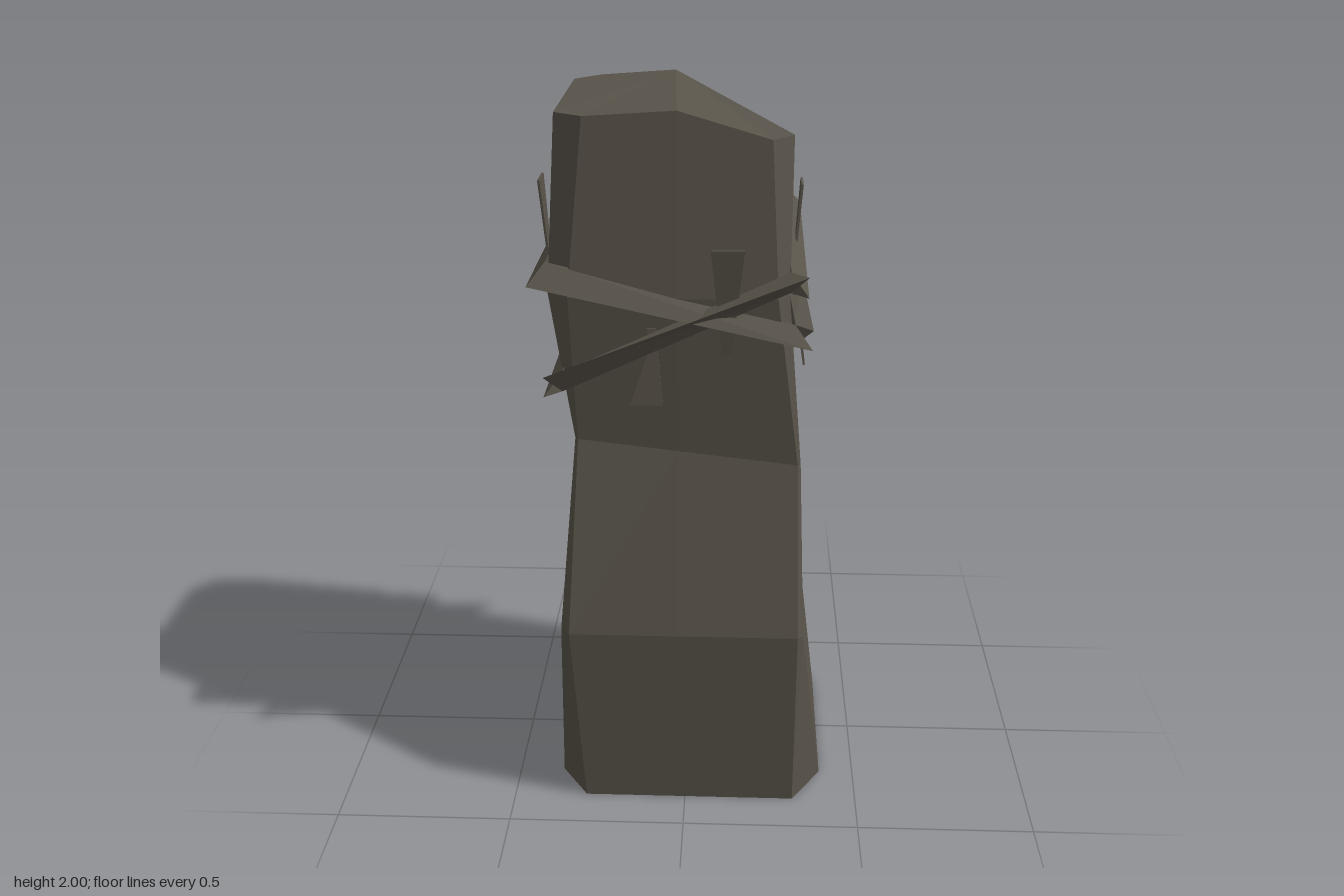
import * as THREE from 'three';

// Closed solid through a list of cross-sections (arrays of [x, y, z])
function loft(rings, capCentre = 0) {
  const pos = [];
  const tri = (a, b, c) => pos.push(...a, ...b, ...c);
  const n = rings[0].length;
  for (let r = 0; r < rings.length - 1; r++) {
    const a = rings[r], b = rings[r + 1];
    for (let i = 0; i < n; i++) {
      const j = (i + 1) % n;
      tri(a[i], b[i], a[j]);
      tri(a[j], b[i], b[j]);
    }
  }
  const first = rings[0], last = rings[rings.length - 1];
  for (let k = 1; k < n - 1; k++) {
    const i = (capCentre + k) % n, j = (capCentre + k + 1) % n;
    tri(first[capCentre], first[i], first[j]);
    tri(last[capCentre], last[j], last[i]);
  }
  const g = new THREE.BufferGeometry();
  g.setAttribute('position', new THREE.Float32BufferAttribute(pos, 3));
  g.computeVertexNormals();
  return g;
}

// Rounded-off square outline: outer sides and the inner ends of its corner cuts
function section(y, [xl, xr, zb, zf], cuts) {
  const [br, fr, fl, bl] = cuts; // [x cut, z cut] for each corner
  const pts = [
    [xr, zb + br[1]], [xr, zf - fr[1]], [xr - fr[0], zf], [-0.02, zf], [xl + fl[0], zf],
    [xl, zf - fl[1]], [xl, zb + bl[1]], [xl + bl[0], zb], [-0.05, zb], [xr - br[0], zb],
  ];
  return pts.map(([x, z], i) => [x, typeof y === 'function' ? y(x, z, i) : y, z]);
}

export function createModel() {
  const model = new THREE.Group();
  const stone = new THREE.MeshStandardMaterial({ color: 0x59544a, flatShading: true });
  stone.name = 'dark stone';

  const add = (name, geometry, parent = model) => {
    const mesh = new THREE.Mesh(geometry, stone);
    mesh.name = name;
    parent.add(mesh);
    return mesh;
  };

  // Crooked pillar with a sloping, ridged top
  const topHeights = [1.79, 1.93, 1.93, 2, 1.985, 1.985, 1.985, 1.985, 2, 1.79];
  const even = (x, z) => [[x, z], [x, z], [x, z], [x, z]];
  add('pillar', loft([
    section(0, [-0.37, 0.4, -0.415, 0.375], [[0.11, 0.155], [0.085, 0.135], [0.08, 0.12], [0.08, 0.14]]),
    section(0.57, [-0.345, 0.33, -0.33, 0.415], [[0.015, 0.015], [0.015, 0.015], [0.025, 0.03], [0.015, 0.015]]),
    section((x) => 1.085 - x * 0.115, [-0.297, 0.312, -0.29, 0.312], even(0.008, 0.008)),
    section(1.53, [-0.355, 0.27, -0.26, 0.355], [[0.04, 0.045], [0.03, 0.04], [0.055, 0.04], [0.05, 0.05]]),
    section((x, z, i) => topHeights[i], [-0.33, 0.273, -0.287, 0.318],
      [[0.05, 0.05], [0.055, 0.065], [0.075, 0.05], [0.07, 0.075]]),
  ], 8));

  // Wedge-shaped bands; tilt 1 slopes the outer face up, -1 slopes it down
  const strip = (name, from, to, tilt) => {
    const ends = [from, to].map(([x, y, z]) => {
      const ix = x - Math.sign(x) * 0.045, iz = z - Math.sign(z) * 0.045, h = 0.027 * tilt;
      const tri = [[x, y - h, z], [ix, y + h, iz], [ix, y - h, iz]];
      return tilt > 0 ? tri : tri.reverse();
    });
    add(name, loft(ends));
  };
  const upper = { fl: [-0.4, 1.595, 0.39], fr: [0.315, 1.58, 0.41], br: [0.312, 1.645, -0.31], bl: [-0.372, 1.64, -0.32] };
  const lower = { fl: [-0.365, 1.3, 0.4], fr: [0.33, 1.435, 0.393], br: [0.32, 1.385, -0.325], bl: [-0.35, 1.33, -0.335] };
  strip('crossingBandFalling', upper.fl, lower.fr, 1);
  strip('crossingBandRising', lower.fl, upper.fr, -1);
  for (const [label, c, sideTilt] of [['upper', upper, 1], ['lower', lower, -1]]) {
    strip(label + 'RightBand', c.fr, c.br, sideTilt);
    strip(label + 'BackBand', c.br, c.bl, 1);
    strip(label + 'LeftBand', c.bl, c.fl, 1);
  }

  // Thin tapering tags: narrow at the band, wide at the free end
  const tag = (parent, name, u, tipY, dist, length, skew, lean) => {
    const shape = new THREE.Shape([
      [-0.012, 0], [0.012, 0], [skew + 0.043, length], [skew - 0.043, length],
    ].map(([x, y]) => new THREE.Vector2(x, y)));
    if (length < 0) shape.curves.reverse();
    const mesh = add(name, new THREE.ExtrudeGeometry(shape, { depth: 0.006, bevelEnabled: false }), parent);
    mesh.position.set(u, tipY, dist);
    mesh.rotation.x = lean * Math.sign(length);
  };
  // Each side: turn, then upper and lower tag [u, tipY, distance, length, skew, lean]
  const sides = [
    ['front', 0, [0.11, 1.38, 0.345, 0.29, 0, 0.13], [-0.085, 1.45, 0.35, -0.21, -0.015, 0.05]],
    ['right', Math.PI / 2, [-0.07, 1.48, 0.278, 0.28, 0.045, 0.08], [-0.02, 1.52, 0.275, -0.285, 0.02, 0.16]],
    ['back', Math.PI, [0.16, 1.53, 0.275, 0.28, -0.04, 0.1], [0, 1.5, 0.268, -0.25, -0.02, 0.15]],
    ['left', -Math.PI / 2, [0.16, 1.5, 0.358, 0.3, 0.01, 0.07], [-0.14, 1.45, 0.348, -0.31, 0, -0.08]],
  ];
  for (const [side, turn, up, down] of sides) {
    const group = new THREE.Group();
    group.name = side + 'Tags';
    group.rotation.y = turn;
    tag(group, side + 'UpperTag', ...up);
    tag(group, side + 'LowerTag', ...down);
    model.add(group);
  }

  return model;
}
